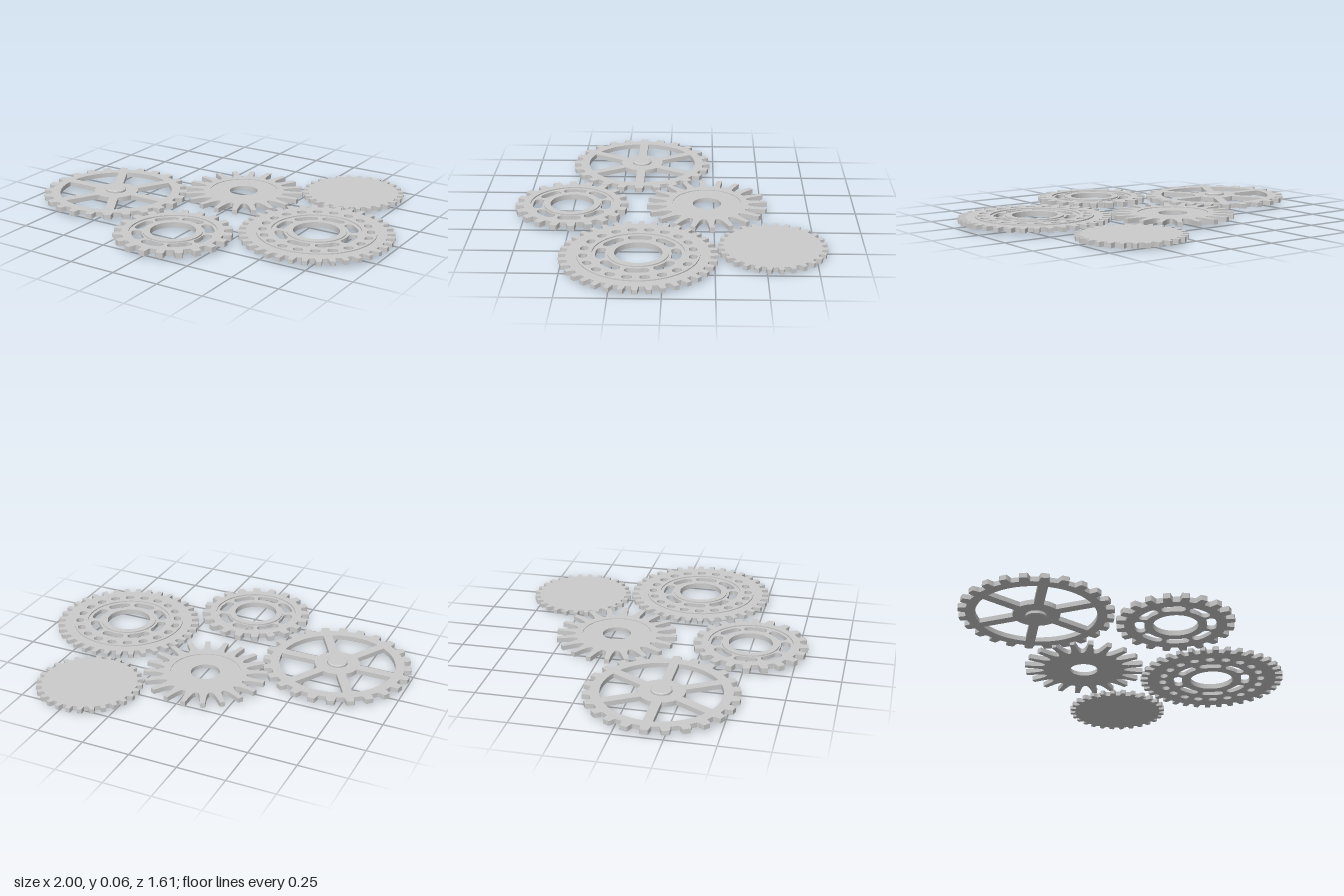
import * as THREE from 'three';
import { toCreasedNormals } from 'three/addons/utils/BufferGeometryUtils.js';

const material = new THREE.MeshStandardMaterial({ color: 0xcccccc });
const polar = (r, a) => new THREE.Vector2(r * Math.cos(a), r * Math.sin(a));

// Toothed outline; halfTooth lists [fraction of pitch, radius] from tooth centre to gap centre
function gearShape(count, halfTooth, phase = 0) {
  const pitch = (Math.PI * 2) / count;
  const left = halfTooth.slice().reverse().map(([f, r]) => [-f, r]);
  const points = [];
  for (let i = 0; i < count; i++) {
    for (const [f, r] of [...left, ...halfTooth]) {
      if (f !== 0.5) points.push(polar(r, phase + (i + f) * pitch));
    }
  }
  return new THREE.Shape(points);
}

const circle = (r) => new THREE.Path().absarc(0, 0, r, 0, Math.PI * 2, true);

function ringShape(outer, inner) {
  const s = new THREE.Shape().absarc(0, 0, outer, 0, Math.PI * 2, false);
  s.holes.push(circle(inner));
  return s;
}

// Curved slots with round ends, evenly spaced about the centre
function slots(count, inner, outer, halfAngle, phase = 0) {
  const mid = (inner + outer) / 2, cap = (outer - inner) / 2;
  return Array.from({ length: count }, (_, i) => {
    const a = phase + (i * Math.PI * 2) / count;
    const a0 = a - halfAngle, a1 = a + halfAngle;
    const p0 = polar(mid, a0), p1 = polar(mid, a1);
    const path = new THREE.Path();
    path.absarc(0, 0, outer, a0, a1, false);
    path.absarc(p1.x, p1.y, cap, a1, a1 + Math.PI, false);
    path.absarc(0, 0, inner, a1, a0, true);
    path.absarc(p0.x, p0.y, cap, a0 + Math.PI, a0 + Math.PI * 2, false);
    return new THREE.Path(path.getPoints(8));
  });
}

// Flat plate between two heights
function plate(name, shape, y0, y1, holes = []) {
  shape.holes.push(...holes);
  const geo = new THREE.ExtrudeGeometry(shape, { depth: y1 - y0, bevelEnabled: false, curveSegments: 48 });
  geo.rotateX(-Math.PI / 2).translate(0, y0, 0);
  const mesh = new THREE.Mesh(toCreasedNormals(geo, 0.5), material);
  mesh.name = name;
  return mesh;
}

function gear(name, x, z, ...parts) {
  const g = new THREE.Group();
  g.name = name;
  g.position.set(x, 0, z);
  g.add(...parts);
  return g;
}

const blockTooth = (root, tip) => [[0.17, tip], [0.21, tip - 0.006], [0.27, root + 0.004], [0.31, root], [0.42, root]];

// Wheel with six spokes and an axle
function spokedGear() {
  const rim = 0.302, hub = 0.118, half = 0.024;
  const windows = Array.from({ length: 6 }, (_, i) => {
    const a = (i * Math.PI) / 3, b = a + Math.PI / 3;
    const dr = Math.asin(half / rim), dh = Math.asin(half / hub);
    const p = new THREE.Path();
    p.absarc(0, 0, rim, a + dr, b - dr, false);
    p.absarc(0, 0, hub, b - dh, a + dh, true);
    return new THREE.Path(p.getPoints(12));
  });
  const axleProfile = [[0, 0], [0.048, 0], [0.053, 0.004], [0.053, 0.052], [0.048, 0.056], [0, 0.056]];
  const axleGeo = new THREE.LatheGeometry(axleProfile.map((p) => new THREE.Vector2(...p)), 40);
  const axle = new THREE.Mesh(toCreasedNormals(axleGeo, 0.5), material);
  axle.name = 'axle';
  const shape = gearShape(24, blockTooth(0.35, 0.388), Math.PI / 2);
  return gear('spokedGear', -0.613, 0.158, plate('spokedWheel', shape, 0.018, 0.043, windows), axle);
}

// Long thin pointed teeth around a shallow dish
function spikedGear() {
  const tooth = [[0.13, 0.32], [0.17, 0.28], [0.22, 0.25], [0.3, 0.23], [0.4, 0.219], [0.47, 0.217]];
  const shape = () => gearShape(20, tooth, Math.PI / 2 + 0.083);
  return gear('spikedGear', -0.025, -0.213,
    plate('spikedPlate', shape(), 0.02, 0.041, [circle(0.075)]),
    plate('spikedRim', shape(), 0.041, 0.045, [circle(0.182)]));
}

// Small gear with eight slots in a recessed web
function slottedGear() {
  const shape = () => gearShape(20, blockTooth(0.258, 0.3), Math.PI / 2 + 0.07);
  return gear('slottedGear', 0, 0.503,
    plate('slottedPlate', shape(), 0.02, 0.041, [circle(0.115), ...slots(8, 0.157, 0.207, 0.2)]),
    plate('slottedRim', shape(), 0.041, 0.048, [circle(0.222)]),
    plate('slottedHub', ringShape(0.15, 0.115), 0.041, 0.048));
}

// Large gear with eight slots and an outer row of small holes
function ringedGear() {
  const small = () => slots(20, 0.25, 0.29, 0.018, Math.PI / 20);
  const shape = gearShape(36, blockTooth(0.352, 0.391));
  return gear('ringedGear', 0.606, 0.123,
    plate('ringedPlate', shape, 0.02, 0.042, [circle(0.117), ...slots(8, 0.163, 0.21, 0.2), ...small()]),
    plate('raisedBand', ringShape(0.302, 0.228), 0.042, 0.048, small()),
    plate('ringedHub', ringShape(0.15, 0.117), 0.042, 0.048));
}

// Plain solid gear, set lower than the others
function solidGear() {
  const shape = gearShape(28, blockTooth(0.245, 0.273), Math.PI / 2 + Math.PI / 28);
  return gear('solidGear', 0.476, -0.538, plate('solidPlate', shape, 0.008, 0.032));
}

export function createModel() {
  const model = new THREE.Group();
  model.name = 'gearTrain';
  model.add(spokedGear(), spikedGear(), slottedGear(), ringedGear(), solidGear());
  return model;
}
